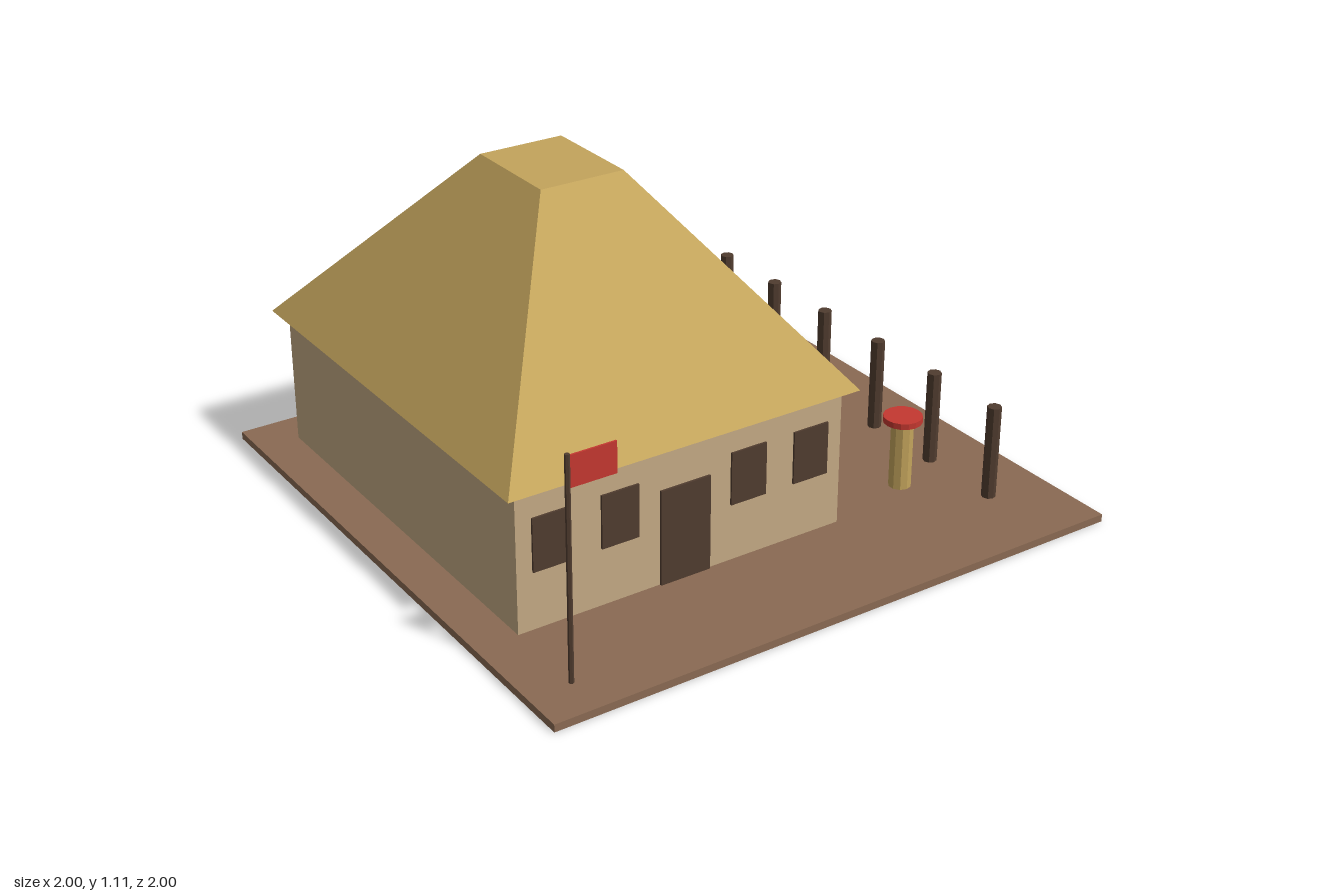
import * as THREE from 'three';

const makeMaterial = (name, color) => {
  const m = new THREE.MeshStandardMaterial({ color });
  m.name = name;
  return m;
};

export function createModel() {
  const model = new THREE.Group();
  model.name = 'thatchedHouse';

  const earth = makeMaterial('earth', 0x8a6a53);
  const clay = makeMaterial('clay', 0xc4aa84);
  const thatch = makeMaterial('thatch', 0xc3a45c);
  const darkWood = makeMaterial('darkWood', 0x503c2f);
  const red = makeMaterial('red', 0xc43830);

  const add = (name, geometry, material, x, y, z) => {
    const mesh = new THREE.Mesh(geometry, material);
    mesh.name = name;
    mesh.position.set(x, y, z);
    model.add(mesh);
    return mesh;
  };
  // Box placed by its bottom height
  const box = (name, material, w, h, d, x, bottom, z) =>
    add(name, new THREE.BoxGeometry(w, h, d), material, x, bottom + h / 2, z);
  // Faceted upright cylinder placed by its bottom height
  const column = (name, material, r, h, sides, x, bottom, z) => {
    const g = new THREE.CylinderGeometry(r, r, h, sides).toNonIndexed();
    g.computeVertexNormals();
    return add(name, g, material, x, bottom + h / 2, z);
  };

  const floor = 0.025;
  const houseX = -0.287, houseZ = -0.143;
  const wallW = 1.145, wallD = 1.434;

  // Ground and walls
  box('ground', earth, 2, floor, 2, 0, 0, 0);
  box('walls', clay, wallW, 0.46, wallD, houseX, floor, houseZ);

  // Hipped roof with a flat top: a four-sided frustum squared to the axes
  const roof = new THREE.CylinderGeometry(0.235 * Math.SQRT1_2, Math.SQRT1_2, 0.625, 4)
    .rotateY(Math.PI / 4)
    .scale(1.226, 1, 1.51)
    .toNonIndexed();
  roof.computeVertexNormals();
  add('roof', roof, thatch, houseX, 0.485 + 0.3125, houseZ);

  // Door and windows on the front, windows again on the back
  const frontZ = houseZ + wallD / 2, backZ = houseZ - wallD / 2;
  box('door', darkWood, 0.175, 0.317, 0.016, houseX, floor, frontZ);
  for (const side of [-1, 1]) {
    for (const offset of [0.227, 0.457]) {
      for (const z of [frontZ, backZ]) {
        box('window', darkWood, 0.127, 0.175, 0.014, houseX + side * offset, 0.216, z);
      }
    }
  }

  // Row of fence posts
  for (let i = 0; i < 6; i++) {
    column('fencePost', darkWood, 0.023, 0.317, 8, 0.785, floor, -0.718 + i * 0.286);
  }

  // Pedestal with a red cap
  column('pedestal', thatch, 0.037, 0.23, 10, 0.597, floor, 0.5);
  column('pedestalCap', red, 0.063, 0.02, 16, 0.597, 0.254, 0.5);

  // Flag on its pole
  column('flagPole', darkWood, 0.008, 0.712, 6, -0.858, floor, 0.858);
  box('flag', red, 0.152, 0.098, 0.006, -0.78, 0.634, 0.858);

  return model;
}
